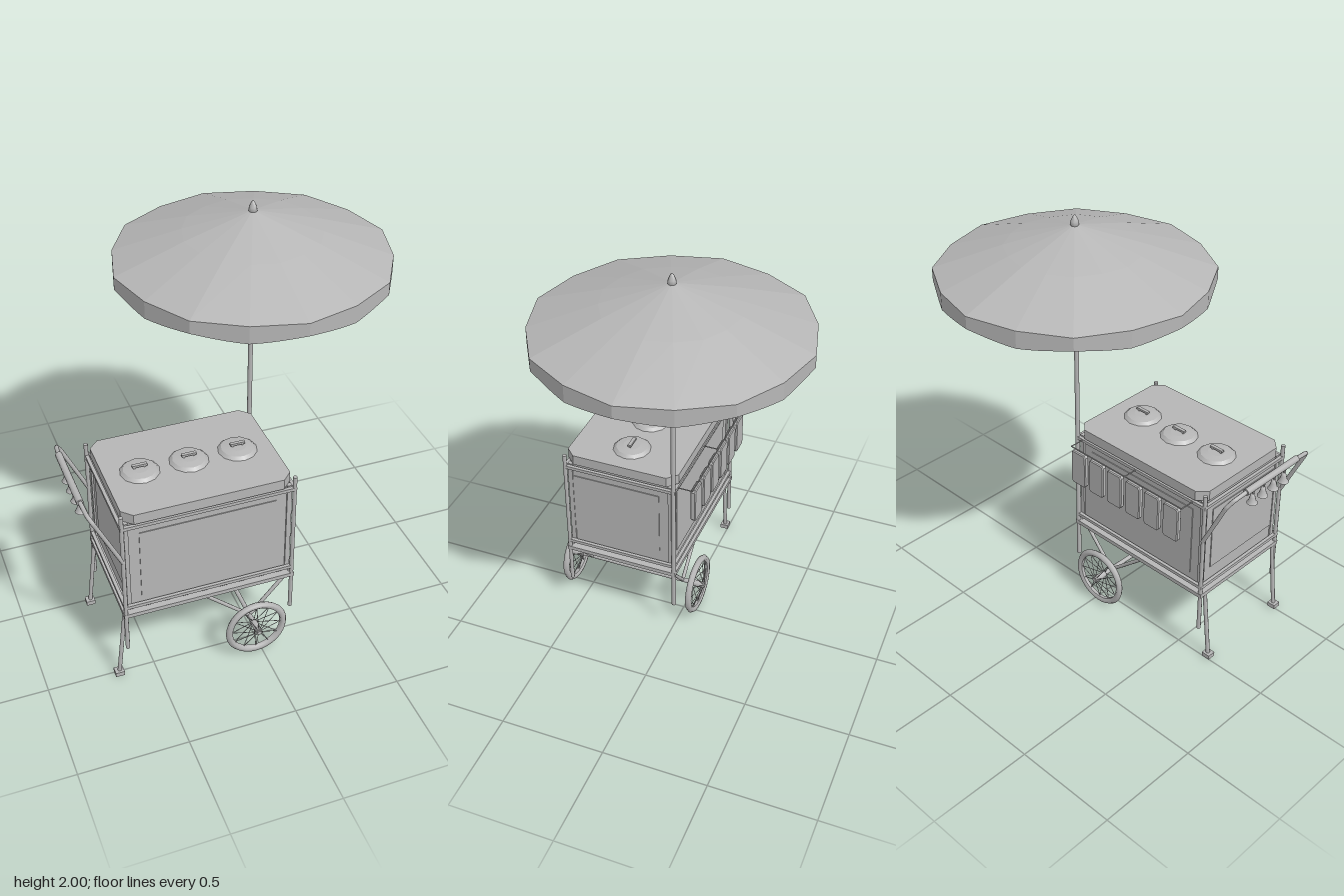
import * as THREE from 'three';

const V = (x, y, z) => new THREE.Vector3(x, y, z);

export function createModel() {
  const root = new THREE.Group();
  root.name = 'vendingCart';
  const grey = new THREE.MeshStandardMaterial({ color: 0xb6b6b6, side: THREE.DoubleSide });
  grey.name = 'plainGrey';

  const add = (name, geo, parent = root) => {
    const m = new THREE.Mesh(geo, grey);
    m.name = name;
    parent.add(m);
    return m;
  };
  const group = (name, parent = root) => {
    const g = new THREE.Group();
    g.name = name;
    parent.add(g);
    return g;
  };
  // box given by its limits on each axis
  const box = (name, x0, x1, y0, y1, z0, z1, parent) => {
    const m = add(name, new THREE.BoxGeometry(x1 - x0, y1 - y0, z1 - z0), parent);
    m.position.set((x0 + x1) / 2, (y0 + y1) / 2, (z0 + z1) / 2);
    return m;
  };
  // round rod between two points
  const rod = (name, a, b, r, parent, sides = 8) => {
    const m = add(name, new THREE.CylinderGeometry(r, r, a.distanceTo(b), sides), parent);
    m.position.copy(a).add(b).multiplyScalar(0.5);
    m.quaternion.setFromUnitVectors(V(0, 1, 0), b.clone().sub(a).normalize());
    return m;
  };
  // horizontal slab with cut corners
  const slab = (name, x0, x1, y0, y1, z0, z1, c) => {
    const pts = [[x0 + c, z0], [x1 - c, z0], [x1, z0 + c], [x1, z1 - c],
      [x1 - c, z1], [x0 + c, z1], [x0, z1 - c], [x0, z0 + c]];
    const s = new THREE.Shape(pts.map(([x, z]) => new THREE.Vector2(x, -z)));
    const g = new THREE.ExtrudeGeometry(s, { depth: y1 - y0, bevelEnabled: false });
    g.rotateX(-Math.PI / 2).translate(0, y0, 0);
    return add(name, g);
  };

  const X0 = -0.627, X1 = 0.163, Z0 = -0.012, Z1 = 0.532;

  // cabinet with raised panels
  box('cabinet', -0.61, 0.148, 0.41, 0.88, 0.005, 0.515);
  const base = new THREE.CylinderGeometry(Math.SQRT1_2, Math.SQRT1_2 * 0.96, 0.03, 4).rotateY(Math.PI / 4);
  base.scale(0.775, 1, 0.53);
  add('cabinetBase', base).position.set(-0.231, 0.396, 0.26);
  box('frontPanel', -0.547, 0.085, 0.45, 0.81, 0.515, 0.519);
  box('backPanel', -0.547, 0.085, 0.45, 0.81, 0.001, 0.005);
  box('endPanelLeft', 0.148, 0.152, 0.48, 0.81, 0.065, 0.505);
  box('endPanelRight', -0.614, -0.61, 0.48, 0.81, 0.065, 0.505);
  for (const x of [-0.607, 0.144]) for (const z of [0.008, 0.512])
    box('cornerStrip', x - 0.011, x + 0.011, 0.41, 0.88, z - 0.011, z + 0.011);

  // rails round the cabinet and lower tray
  const ring = (name, y, r) => {
    const g = group(name);
    for (const z of [Z0, Z1]) box('rail', X0 - r, X1 + r, y - r, y + r, z - r, z + r, g);
    for (const x of [X0, X1]) box('rail', x - r, x + r, y - r, y + r, Z0, Z1, g);
  };
  ring('trayFrame', 0.368, 0.01);
  ring('lowerRail', 0.415, 0.008);
  ring('upperRail', 0.866, 0.008);
  box('trayFloor', X0, X1, 0.364, 0.374, Z0, Z1);

  // corner posts, the back one on the left being the umbrella pole
  for (const [x, z] of [[X0, Z0], [X0, Z1], [X1, Z1]])
    rod('cornerPost', V(x, 0.17, z), V(x, 0.93, z), 0.01);
  rod('umbrellaPole', V(X1, 0.17, Z0), V(X1, 1.95, Z0), 0.011, root, 12);

  // cabinet top and round hatches
  slab('topSeal', -0.607, 0.143, 0.875, 0.885, 0.002, 0.518, 0.03);
  slab('cabinetTop', -0.618, 0.155, 0.882, 0.932, -0.018, 0.538, 0.045);
  for (const x of [-0.458, -0.231, -0.002]) {
    const h = group('hatch');
    h.position.set(x, 0.93, 0.26);
    add('hatchCover', new THREE.CylinderGeometry(0.075, 0.092, 0.016, 12), h).position.y = 0.008;
    add('hatchDome', new THREE.CylinderGeometry(0.04, 0.075, 0.006, 12), h).position.y = 0.019;
    box('hatchGrip', -0.034, 0.034, 0.03, 0.04, -0.008, 0.008, h);
    for (const s of [-0.024, 0.024]) box('gripStem', s - 0.004, s + 0.004, 0.015, 0.032, -0.004, 0.004, h);
  }

  // push handle with thick grip and bells
  const path = new THREE.CurvePath();
  const hp = [V(X0, 0.68, -0.015), V(-0.745, 0.93, -0.018), V(-0.765, 0.965, 0.005), V(-0.772, 0.977, 0.08),
    V(-0.772, 0.977, 0.44), V(-0.765, 0.965, 0.515), V(-0.745, 0.93, 0.538), V(X0, 0.68, 0.535)];
  for (let i = 0; i < hp.length - 1; i++) path.add(new THREE.LineCurve3(hp[i], hp[i + 1]));
  add('handleTube', new THREE.TubeGeometry(path, 80, 0.01, 8));
  rod('handleGrip', V(-0.772, 0.977, 0.08), V(-0.772, 0.977, 0.435), 0.016, root, 10);
  const bellProfile = [[0, 0.05], [0.009, 0.047], [0.013, 0.03], [0.018, 0.012], [0.026, 0]]
    .map(([x, y]) => new THREE.Vector2(x, y));
  for (const z of [0.15, 0.223, 0.297, 0.37]) {
    add('bell', new THREE.LatheGeometry(bellProfile, 10)).position.set(-0.757, 0.878, z);
    rod('bellHanger', V(-0.757, 0.92, z), V(-0.77, 0.97, z), 0.004);
    add('bellClapper', new THREE.SphereGeometry(0.007, 8, 6)).position.set(-0.757, 0.88, z);
  }

  // splayed legs with feet
  for (const z of [0.018, 0.512]) {
    rod('leg', V(-0.628, 0.37, z), V(-0.668, 0.01, z), 0.01);
    box('foot', -0.69, -0.648, 0, 0.022, z - 0.02, z + 0.02);
  }

  // axle and its slanted braces
  const AX = -0.031, AY = 0.153;
  rod('axle', V(AX, AY, -0.1), V(AX, AY, 0.64), 0.011);
  for (const z of [0.018, 0.512]) {
    rod('axleBrace', V(AX, AY, z), V(-0.27, 0.365, z), 0.009);
    rod('axleBrace', V(AX, AY, z), V(0.155, 0.365, z), 0.009);
  }

  // spoked wheels
  const tyre = [[0.118, -0.008], [0.128, -0.015], [0.141, -0.013], [0.149, 0],
    [0.141, 0.013], [0.128, 0.015], [0.118, 0.008], [0.118, -0.008]].map(([x, y]) => new THREE.Vector2(x, y));
  for (const z of [0.597, -0.062]) {
    const w = group('wheel');
    w.position.set(AX, AY, z);
    add('tyre', new THREE.LatheGeometry(tyre, 32).rotateX(Math.PI / 2), w);
    rod('hub', V(0, 0, -0.036), V(0, 0, 0.036), 0.016, w, 12);
    for (let i = 0; i < 12; i++) {
      const a = i * Math.PI / 6, c = Math.cos(a), s = Math.sin(a);
      for (const d of [-0.03, 0.03])
        rod('spoke', V(c * 0.014, s * 0.014, d), V(c * 0.12, s * 0.12, 0), 0.0018, w, 4);
    }
  }

  // six cup holders hung along the back
  const rr = new THREE.Shape([[-0.036, -0.09], [0.036, -0.09], [0.045, -0.078], [0.045, 0.078],
    [0.036, 0.09], [-0.036, 0.09], [-0.045, 0.078], [-0.045, -0.078]].map(([x, y]) => new THREE.Vector2(x, y)));
  const holder = new THREE.ExtrudeGeometry(rr, {
    depth: 0.016, bevelEnabled: true, bevelThickness: 0.005, bevelSize: 0.004, bevelOffset: -0.004, bevelSegments: 1 });
  for (let i = 0; i < 6; i++)
    add('hangingHolder', holder).position.set(-0.505 + i * 0.115, 0.77, -0.097);
  rod('holderBar', V(-0.56, 0.868, -0.09), V(0.125, 0.868, -0.09), 0.003, root, 6);
  for (const x of [-0.56, -0.2175, 0.125])
    rod('holderArm', V(x, 0.868, -0.015), V(x, 0.868, -0.09), 0.003, root, 6);

  // umbrella
  const u = group('umbrella');
  u.position.set(X1, 0, Z0);
  const rim = (k, f = 1) => {
    const a = k * Math.PI / 8, r = (k % 2 ? 0.606 : 0.62) * f;
    return [Math.cos(a) * r, Math.sin(a) * r];
  };
  const surface = (pos) => {
    const g = new THREE.BufferGeometry();
    g.setAttribute('position', new THREE.Float32BufferAttribute(pos, 3));
    g.computeVertexNormals();
    return g;
  };
  const canopy = [], valance = [];
  for (let k = 0; k < 16; k++) {
    const [ax, az] = rim(k), [bx, bz] = rim(k + 1);
    const [cx, cz] = rim(k, 0.5), [dx, dz] = rim(k + 1, 0.5);
    const T = 1.955, M = 1.861, E = 1.752;
    canopy.push(0, T, 0, dx, M, dz, cx, M, cz);
    canopy.push(cx, M, cz, dx, M, dz, bx, E, bz, cx, M, cz, bx, E, bz, ax, E, az);
    // scalloped edge, deepest between ribs
    const n = 5;
    for (let j = 0; j < n; j++) {
      const at = (t) => [ax + (bx - ax) * t, az + (bz - az) * t,
        1.693 - 0.022 * Math.sin(((k % 2) + t) * Math.PI / 2)];
      const [px, pz, py] = at(j / n), [qx, qz, qy] = at((j + 1) / n);
      valance.push(px, E, pz, qx, E, qz, qx, qy, qz, px, E, pz, qx, qy, qz, px, py, pz);
    }
  }
  add('canopy', surface(canopy), u);
  add('valance', surface(valance), u);
  for (let k = 0; k < 16; k += 2) {
    const [ex, ez] = rim(k, 0.99), [mx, mz] = rim(k, 0.5), [sx, sz] = rim(k, 0.56);
    rod('rib', V(0, 1.945, 0), V(mx, 1.855, mz), 0.005, u, 6);
    rod('rib', V(mx, 1.855, mz), V(ex, 1.748, ez), 0.005, u, 6);
    rod('strut', V(0, 1.545, 0), V(sx, 1.838, sz), 0.004, u, 6);
  }
  rod('strutCollar', V(0, 1.53, 0), V(0, 1.555, 0), 0.015, u, 10);
  const finial = [[0.012, 1.94], [0.02, 1.955], [0.018, 1.97], [0.008, 1.992], [0, 2]]
    .map(([x, y]) => new THREE.Vector2(x, y));
  add('finial', new THREE.LatheGeometry(finial, 8), u);

  return root;
}
